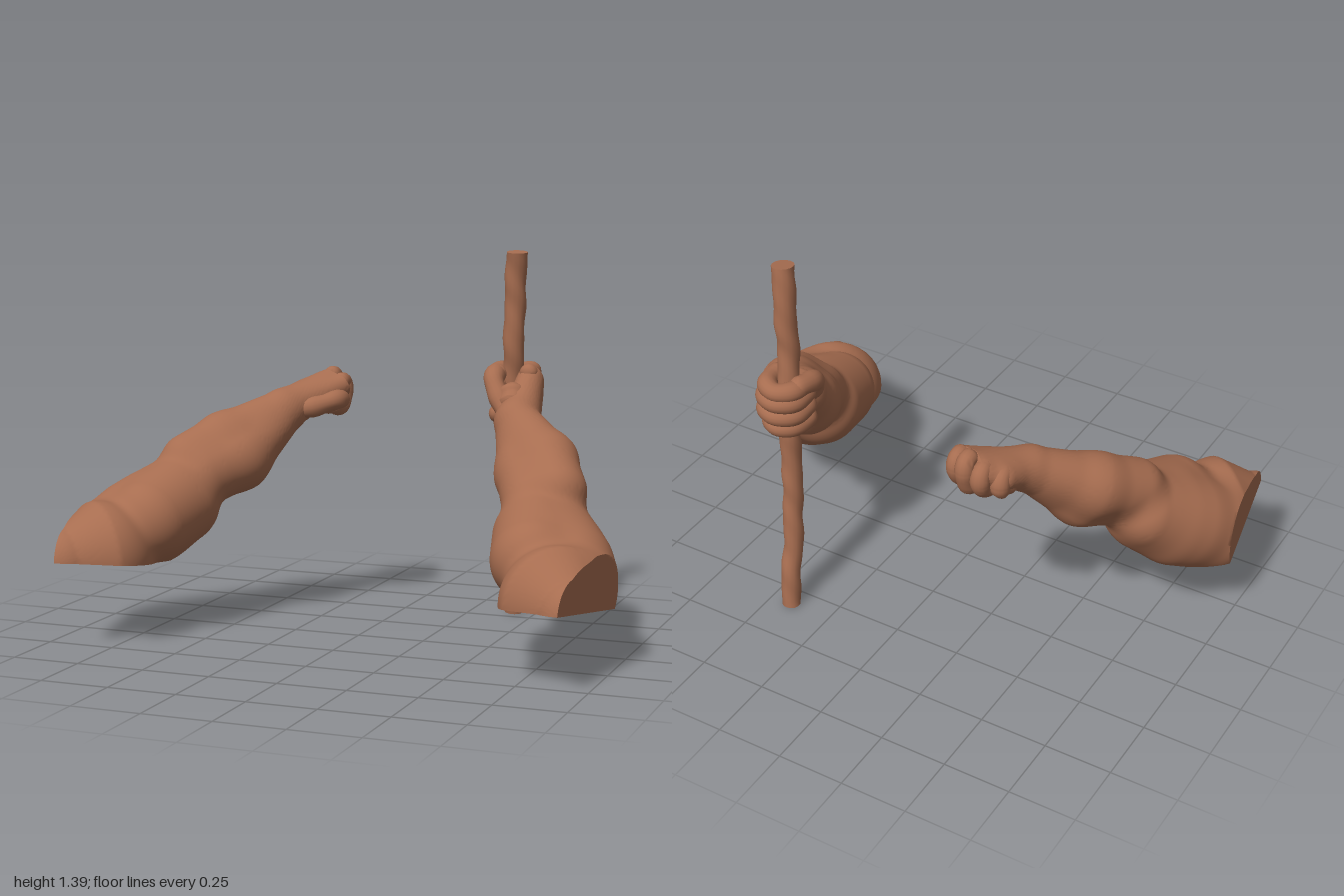
import * as THREE from 'three';
import { toCreasedNormals } from 'three/addons/utils/BufferGeometryUtils.js';

const clay = new THREE.MeshStandardMaterial({ color: 0xa76d50 });
clay.name = 'clay brown';

const X = new THREE.Vector3(1, 0, 0), Y = new THREE.Vector3(0, 1, 0);
const steps = n => Array.from({ length: n + 1 }, (_, i) => i / n);

// Cuts triangles along a plane and flattens everything beyond it into the cut face
function cutFlat(tris, plane) {
  const out = [];
  const fan = poly => {
    for (let i = 2; i < poly.length; i++) out.push([poly[0], poly[i - 1], poly[i]]);
  };
  for (const tri of tris) {
    const inside = [], outside = [];
    tri.forEach((a, i) => {
      const b = tri[(i + 1) % 3];
      const da = plane.distanceToPoint(a), db = plane.distanceToPoint(b);
      (da > 0 ? outside : inside).push(a);
      if (da > 0 !== db > 0) {
        const c = a.clone().lerp(b, da / (da - db));
        inside.push(c);
        outside.push(c);
      }
    });
    fan(inside);
    fan(outside.map(p => plane.projectPoint(p, new THREE.Vector3())));
  }
  return out;
}

// Closed loft along a curve; radius(point, direction, t, angle) shapes each ring
function loft(name, points, ts, sides, ref, radius, crease, cuts = []) {
  const curve = new THREE.CatmullRomCurve3(points);
  const rings = ts.map((t, i) => {
    const p = curve.getPointAt(t), tan = curve.getTangentAt(t);
    const u = new THREE.Vector3().crossVectors(ref, tan).normalize();
    const v = new THREE.Vector3().crossVectors(tan, u);
    const end = i === 0 || i === ts.length - 1;
    return Array.from({ length: sides }, (_, j) => {
      const a = j / sides * Math.PI * 2;
      const dir = u.clone().multiplyScalar(Math.cos(a)).addScaledVector(v, Math.sin(a));
      return p.clone().addScaledVector(dir, end ? 0 : radius(p, dir, t, a));
    });
  });
  let tris = [];
  for (let i = 0; i < rings.length - 1; i++) {
    for (let j = 0; j < sides; j++) {
      const k = (j + 1) % sides, r0 = rings[i], r1 = rings[i + 1];
      if (i > 0) tris.push([r0[j], r0[k], r1[j]]);
      if (i < rings.length - 2) tris.push([r0[k], r1[k], r1[j]]);
    }
  }
  for (const plane of cuts) tris = cutFlat(tris, plane);
  const g = new THREE.BufferGeometry().setFromPoints(tris.flat());
  const m = new THREE.Mesh(toCreasedNormals(g, crease), clay);
  m.name = name;
  return m;
}

// Distance to a capsule whose radius changes from a to b
function capsule(p, [a, ra, b, rb]) {
  const bx = b.x - a.x, by = b.y - a.y, bz = b.z - a.z;
  const px = p.x - a.x, py = p.y - a.y, pz = p.z - a.z;
  const h = Math.min(1, Math.max(0, (px * bx + py * by + pz * bz) / (bx * bx + by * by + bz * bz)));
  return Math.hypot(px - bx * h, py - by * h, pz - bz * h) - ra - (rb - ra) * h;
}

// Muscles blended softly together
function bodyDistance(p, muscles) {
  const k = 0.035;
  let d = 1;
  for (const m of muscles) {
    const e = capsule(p, m), h = Math.max(k - Math.abs(d - e), 0) / k;
    d = Math.min(d, e) - h * h * k / 4;
  }
  return d;
}

// One continuous skin around all muscles of an arm, trimmed by the flat cuts
function skin(name, spine, muscles, cuts) {
  const q = new THREE.Vector3();
  const hit = (p, dir) => {
    const f = r => bodyDistance(q.copy(p).addScaledVector(dir, r), muscles);
    for (let r = 0.4; r > 0; r -= 0.008) {
      if (f(r) > 0) continue;
      let lo = r, hi = r + 0.008;
      for (let n = 0; n < 9; n++) {
        const mid = (lo + hi) / 2;
        if (f(mid) > 0) hi = mid; else lo = mid;
      }
      return lo;
    }
    return 0;
  };
  return loft(name, spine, steps(130), 84, X, hit, 0.75, cuts);
}

// Finger or thumb with rounded ends and slight joint swellings
function digit(name, points, r, ref) {
  const len = new THREE.CatmullRomCurve3(points).getLength();
  return loft(name, points, steps(40), 16, ref, (p, d, t) => {
    const e = Math.min(1, Math.min(t, 1 - t) * len / r);
    return r * Math.sqrt(1 - (1 - e) ** 2) * (1 + 0.05 * Math.cos(t * Math.PI * 6));
  }, 1.2);
}

// side: +1 or -1 in x; lift raises the shoulder block
function makeArm(name, side, lift, fore, knuckles) {
  const V = (x, y, z) => new THREE.Vector3(x * side, y, z);
  const U = (x, y, z) => V(x, y + lift, z);
  const [flexA, flexB, flexC, extA, extB, extC] = fore.map(p => V(...p));
  const wrist = flexC.clone().lerp(extC, 0.5);
  const muscles = [
    [U(0.86, 0.26, 0.38), 0.2, U(0.94, 0.25, 0.48), 0.125],    // front of shoulder
    [U(0.88, 0.29, 0.25), 0.165, U(0.78, 0.36, 0.13), 0.172],  // rear of shoulder
    [U(0.73, 0.375, 0.22), 0.153, U(0.7, 0.42, 0.07), 0.162],  // biceps
    [U(0.84, 0.36, 0.15), 0.14, U(0.74, 0.46, 0), 0.12],       // triceps
    [flexA, 0.12, flexB, 0.118], [flexB, 0.118, flexC, 0.072], // inner forearm
    [extA, 0.106, extB, 0.108], [extB, 0.108, extC, 0.07],     // outer forearm
    ...knuckles.map(k => [wrist, 0.06, V(...k), 0.044]),       // back of hand
  ];
  const cuts = [
    [new THREE.Vector3(side, 0, 0.18), V(1, 0, 0.16)],
    [new THREE.Vector3(0, -1, 0.125), U(0, 0.2, 0.05)],
  ].map(([n, p]) => new THREE.Plane().setFromNormalAndCoplanarPoint(n.normalize(), p));
  const palm = new THREE.Vector3();
  knuckles.forEach(k => palm.add(V(...k).divideScalar(knuckles.length)));
  const past = palm.clone().sub(wrist).setLength(0.04).add(palm);
  const spine = [U(0.92, 0.27, 0.602), U(0.84, 0.34, 0.4), U(0.77, 0.4, 0.17),
    flexA.clone().lerp(extA, 0.5), flexB.clone().lerp(extB, 0.5), wrist, palm, past];
  const g = new THREE.Group();
  g.name = name;
  g.add(skin(name + 'Skin', spine, muscles, cuts));
  return g;
}

export function createModel() {
  const model = new THREE.Group();
  model.name = 'armsWithStaff';
  const V = (x, y, z) => new THREE.Vector3(x, y, z);

  // Left arm, hand closed around the staff
  const gripY = [0.79, 0.843, 0.897, 0.94];
  const left = makeArm('leftArm', 1, 0,
    [[0.66, 0.53, -0.02], [0.59, 0.61, -0.17], [0.49, 0.765, -0.32],
      [0.735, 0.575, -0.03], [0.655, 0.655, -0.17], [0.51, 0.785, -0.31]],
    gripY.map((y, i) => [0.498, y - 0.005, i === 0 ? -0.47 : -0.495]));
  gripY.forEach((y, i) => {
    const s = i === 0 ? -0.012 : i === 3 ? -0.006 : 0;
    left.add(digit('gripFinger', [V(0.495, y, -0.43), V(0.505 + s, y, -0.49), V(0.488 + s, y, -0.55 - s),
      V(0.435, y - 0.004, -0.571 - s), V(0.384 - s, y - 0.006, -0.53), V(0.38, y - 0.006, -0.46),
      V(0.405, y - 0.006, -0.43)], 0.035, Y));
  });
  left.add(digit('gripThumb', [V(0.47, 0.78, -0.33), V(0.415, 0.85, -0.37), V(0.38, 0.915, -0.41),
    V(0.375, 0.94, -0.48), V(0.395, 0.942, -0.53)], 0.038, Y));
  left.add(digit('gripHeel', [V(0.49, 0.765, -0.32), V(0.46, 0.79, -0.39), V(0.425, 0.8, -0.44)], 0.052, Y));
  left.add(digit('gripPalm', [V(0.48, 0.8, -0.33), V(0.46, 0.86, -0.39), V(0.45, 0.89, -0.43)], 0.055, Y));
  model.add(left);

  // Right arm, clenched fist with the palm down
  const knuckles = [[0.416, 0.842, -0.482], [0.362, 0.868, -0.522], [0.307, 0.895, -0.53], [0.257, 0.875, -0.5]];
  const right = makeArm('rightArm', -1, 0.045,
    [[0.63, 0.56, -0.02], [0.54, 0.61, -0.14], [0.42, 0.765, -0.31],
      [0.69, 0.605, -0.02], [0.6, 0.67, -0.15], [0.44, 0.785, -0.31]],
    knuckles.map(([x, y, z]) => [x, y - 0.012, z + 0.02]));
  for (const [x, y, z] of knuckles) {
    right.add(digit('fistFinger', [V(-x, y + 0.003, z + 0.05), V(-x, y, z), V(-x, y - 0.045, z - 0.006),
      V(-x, 0.795, z + 0.015), V(-x, 0.784, z + 0.07), V(-x, 0.81, z + 0.11)], 0.034, X));
  }
  right.add(digit('fistThumb', [V(-0.41, 0.775, -0.32), V(-0.32, 0.79, -0.345), V(-0.258, 0.81, -0.4),
    V(-0.25, 0.812, -0.45), V(-0.28, 0.795, -0.495)], 0.038, Y));
  right.add(digit('fistHeel', [V(-0.42, 0.77, -0.32), V(-0.38, 0.8, -0.4), V(-0.33, 0.83, -0.48)], 0.062, Y));
  right.add(digit('fistOuterEdge', [V(-0.435, 0.775, -0.31), V(-0.41, 0.82, -0.4), V(-0.403, 0.83, -0.48)], 0.05, Y));
  model.add(right);

  // Knobbly wooden staff with flat ends
  const staff = [[0.413, 0.005, -0.575], [0.418, 0.12, -0.565], [0.416, 0.25, -0.54], [0.42, 0.42, -0.522],
    [0.422, 0.6, -0.51], [0.426, 0.75, -0.51], [0.43, 0.9, -0.49], [0.437, 1.08, -0.472],
    [0.44, 1.22, -0.474], [0.449, 1.388, -0.457]].map(p => V(...p));
  model.add(loft('staff', staff, [0, ...steps(60), 1], 14, X, (p, d, t, a) =>
    0.035 + 0.005 * t + 0.002 * Math.sin(t * 44 + a) + 0.0015 * Math.sin(t * 71 + a * 2), 0.7));
  return model;
}
